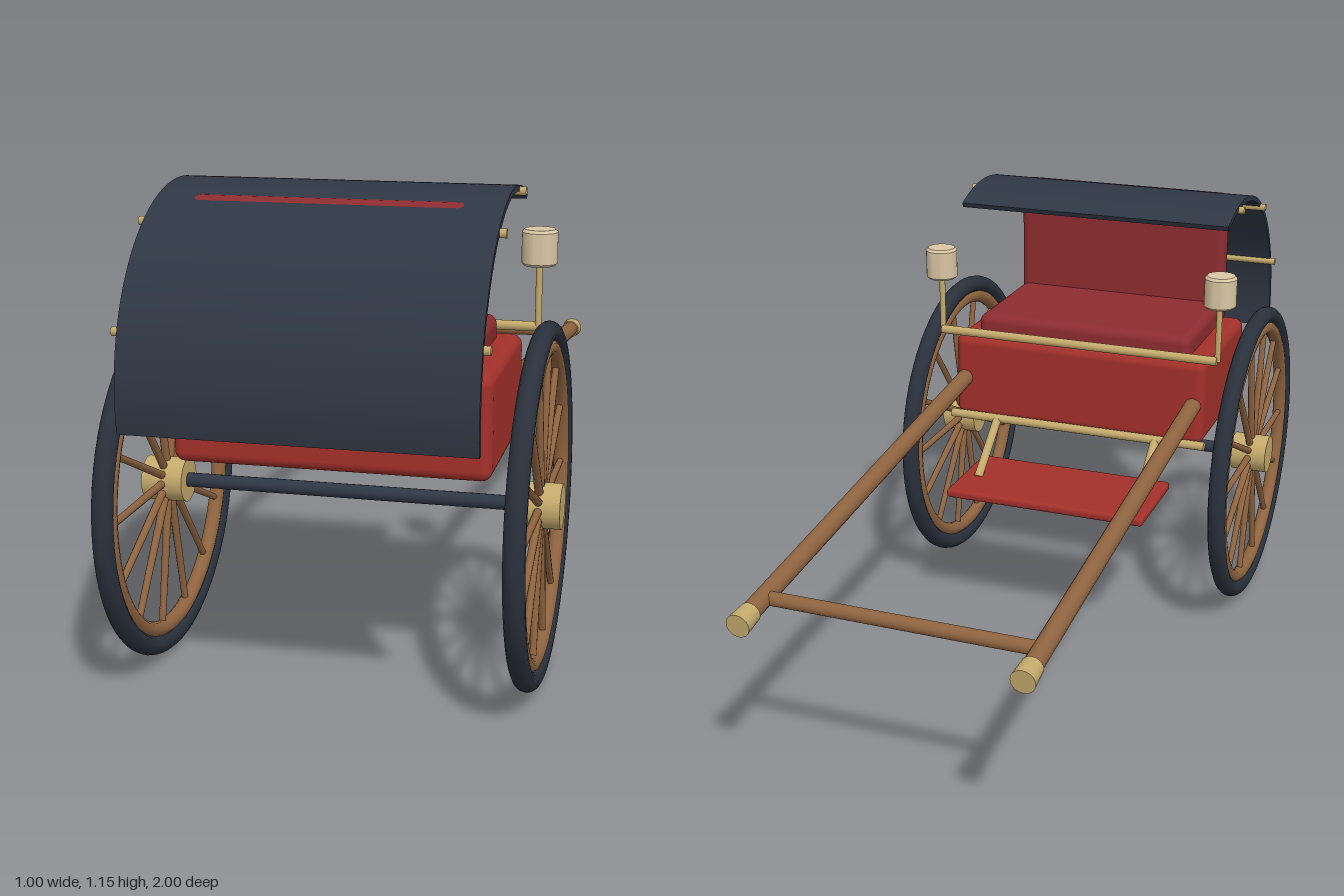
import * as THREE from 'three';
import { toCreasedNormals } from 'three/addons/utils/BufferGeometryUtils.js';
import { RoundedBoxGeometry } from 'three/addons/geometries/RoundedBoxGeometry.js';

export function createModel() {
  const root = new THREE.Group();
  root.name = 'handCart';
  const mat = (name, color) => {
    const m = new THREE.MeshStandardMaterial({ color });
    m.name = name;
    return m;
  };
  const dark = mat('darkCanvas', 0x2f3744);
  const rubber = mat('rubber', 0x2a313c);
  const red = mat('redPaint', 0xa3302a);
  const maroon = mat('maroonLeather', 0x8c2c30);
  const wood = mat('wood', 0x8f6440);
  const brass = mat('brass', 0xc4aa6c);
  const cream = mat('lampGlass', 0xd9c6a4);

  const add = (name, geo, material, parent = root) => {
    const m = new THREE.Mesh(geo, material);
    m.name = name;
    parent.add(m);
    return m;
  };
  // Round bar between two points; r1 is the radius at a, r2 at b
  const bar = (name, a, b, r1, r2, material, parent = root, sides = 16) => {
    const va = new THREE.Vector3(...a), vb = new THREE.Vector3(...b);
    const dir = vb.clone().sub(va);
    const m = add(name, new THREE.CylinderGeometry(r2, r1, dir.length(), sides), material, parent);
    m.position.copy(va).add(vb).multiplyScalar(0.5);
    m.quaternion.setFromUnitVectors(new THREE.Vector3(0, 1, 0), dir.normalize());
    return m;
  };
  // Rounded box given by its lower and upper corners
  const block = (name, lo, hi, r, material) => {
    const s = hi.map((v, i) => v - lo[i]);
    const m = add(name, new RoundedBoxGeometry(s[0], s[1], s[2], 4, r), material);
    m.position.set(...hi.map((v, i) => (v + lo[i]) / 2));
    return m;
  };

  // Seat box, cushion, backrest and footboard
  block('seatBox', [-0.365, 0.53, 0.285], [0.365, 0.77, 0.735], 0.025, red);
  block('seatCushion', [-0.31, 0.745, 0.325], [0.31, 0.825, 0.69], 0.025, maroon);
  block('backrest', [-0.31, 0.74, 0.668], [0.31, 1.138, 0.735], 0.025, maroon);
  block('footboard', [-0.282, 0.392, 0.012], [0.282, 0.417, 0.28], 0.01, red);

  // Folding hood: a thin curved shell running across the cart
  const cz = 0.575, cy = 0.735, R = 0.423;
  const a0 = THREE.MathUtils.degToRad(-9), a1 = THREE.MathUtils.degToRad(114);
  const arc = new THREE.Shape();
  arc.absarc(cz, cy, R, a0, a1, false);
  arc.absarc(cz, cy, R - 0.014, a1, a0, true);
  const shell = new THREE.ExtrudeGeometry(arc, { depth: 0.77, bevelEnabled: false, curveSegments: 40 });
  shell.translate(0, 0, -0.385).rotateY(-Math.PI / 2);
  add('hood', toCreasedNormals(shell, 0.6), dark);
  for (const deg of [98, 59.5, 21]) {
    const a = THREE.MathUtils.degToRad(deg);
    const z = cz + 0.41 * Math.cos(a), y = cy + 0.41 * Math.sin(a);
    bar('hoodRib', [-0.4, y, z], [0.4, y, z], 0.01, 0.01, brass);
  }

  // Rails, axle and the pulling crossbar
  bar('upperRail', [-0.4, 0.785, 0.28], [0.4, 0.785, 0.28], 0.012, 0.012, brass);
  bar('lowerRail', [-0.375, 0.535, 0.28], [0.375, 0.535, 0.28], 0.012, 0.012, brass);
  bar('axle', [-0.45, 0.427, 0.545], [0.45, 0.427, 0.545], 0.017, 0.017, dark);
  bar('crossbar', [-0.33, 0.515, -0.88], [0.33, 0.515, -0.88], 0.017, 0.017, wood);

  const lampProfile = [[0, 0], [0.037, 0], [0.043, 0.006], [0.043, 0.08], [0.037, 0.087], [0, 0.087]]
    .map(p => new THREE.Vector2(...p));
  const lampGeo = toCreasedNormals(new THREE.LatheGeometry(lampProfile, 28), 0.6);

  for (const s of [1, -1]) {
    // Shaft with brass end cap
    bar('shaft', [s * 0.335, 0.647, 0.3], [s * 0.335, 0.508, -0.95], 0.023, 0.023, wood);
    bar('shaftCap', [s * 0.335, 0.508, -0.943], [s * 0.335, 0.502, -0.999], 0.026, 0.029, brass, root, 20);
    // Footboard strut
    bar('footboardStrut', [s * 0.235, 0.535, 0.28], [s * 0.235, 0.412, 0.13], 0.012, 0.012, brass);
    // Lamp on its post
    bar('lampPost', [s * 0.4, 0.783, 0.285], [s * 0.4, 0.94, 0.285], 0.008, 0.008, brass);
    add('lamp', lampGeo, cream).position.set(s * 0.4, 0.935, 0.285);

    // Wheel, built around its own centre
    const wheel = new THREE.Group();
    wheel.name = s > 0 ? 'leftWheel' : 'rightWheel';
    wheel.position.set(s * 0.45, 0.427, 0.545);
    root.add(wheel);
    add('tyre', new THREE.TorusGeometry(0.398, 0.024, 14, 72).rotateY(Math.PI / 2), rubber, wheel);
    add('rim', new THREE.TorusGeometry(0.362, 0.019, 12, 64).rotateY(Math.PI / 2), wood, wheel);
    bar('hub', [-0.05, 0, 0], [0.05, 0, 0], 0.053, 0.053, brass, wheel, 28);
    for (let i = 0; i < 14; i++) {
      const a = i * Math.PI / 7, c = Math.cos(a), n = Math.sin(a);
      bar('spoke', [0, n * 0.04, c * 0.04], [0, n * 0.355, c * 0.355], 0.01, 0.008, wood, wheel, 10);
    }
  }
  return root;
}
